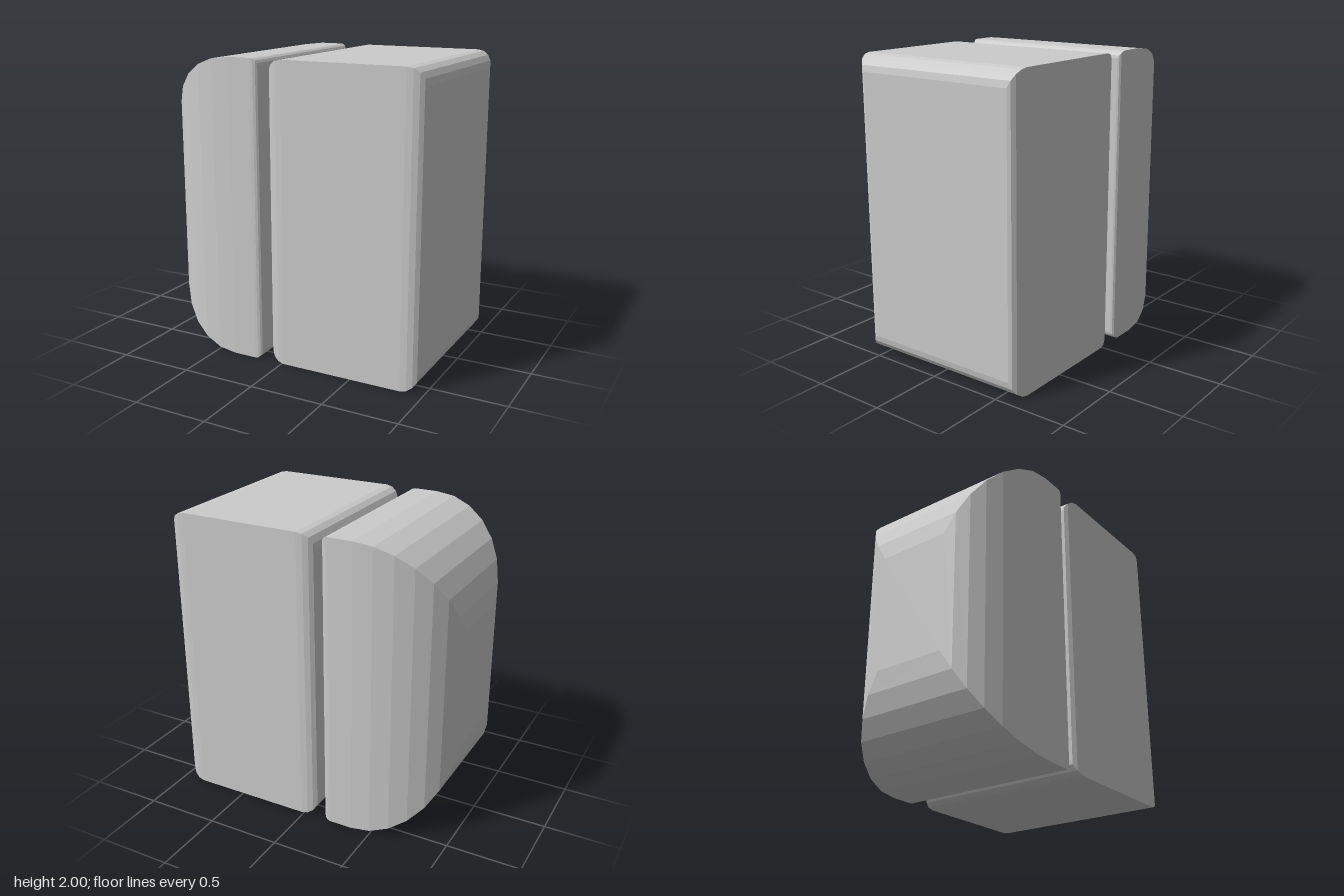
import * as THREE from 'three';

const HALF_H = 1, HALF_D = 0.625;

// Rounded end: sections [x, halfHeight, halfDepth] from the end face inward.
function roundedEnd(xEnd, dir, rx, ry, rz, steps) {
  const out = [];
  for (let i = 0; i <= steps; i++) {
    const a = (i / steps) * Math.PI / 2;
    out.push([
      xEnd + dir * rx * (1 - Math.cos(a)),
      HALF_H - ry * (1 - Math.sin(a)),
      HALF_D - rz * (1 - Math.sin(a)),
    ]);
  }
  return out;
}

// Skin rectangular sections along x and close both ends.
function loftRectangles(sections) {
  const rings = sections.map(([x, h, d]) =>
    [[-1, -1], [1, -1], [1, 1], [-1, 1]].map(([sy, sz]) => [x, 1 + sy * h, sz * d]));
  const pos = [];
  const quad = (a, b, c, d) => pos.push(...a, ...b, ...c, ...a, ...c, ...d);
  for (let i = 0; i < rings.length - 1; i++) {
    for (let j = 0; j < 4; j++) {
      const k = (j + 1) % 4;
      quad(rings[i][j], rings[i][k], rings[i + 1][k], rings[i + 1][j]);
    }
  }
  const first = rings[0], last = rings[rings.length - 1];
  quad(first[3], first[2], first[1], first[0]);
  quad(last[0], last[1], last[2], last[3]);
  const geometry = new THREE.BufferGeometry();
  geometry.setAttribute('position', new THREE.Float32BufferAttribute(pos, 3));
  geometry.computeVertexNormals();
  return geometry;
}

export function createModel() {
  const group = new THREE.Group();
  const material = new THREE.MeshStandardMaterial({ color: 0xcccccc, flatShading: true });
  const add = (name, leftEnd, rightEnd) => {
    const mesh = new THREE.Mesh(loftRectangles([...leftEnd, ...rightEnd.reverse()]), material);
    mesh.name = name;
    group.add(mesh);
  };

  // Large block with softly rounded ends
  add('mainBlock',
    roundedEnd(-0.095, 1, 0.11, 0.11, 0.06, 4),
    roundedEnd(0.955, -1, 0.11, 0.11, 0.06, 4));

  // Domed end cap, separated by a narrow gap
  add('domedCap',
    roundedEnd(-0.955, 1, 0.59, 0.6, 0.375, 7),
    roundedEnd(-0.155, -1, 0.05, 0.05, 0.03, 4));

  return group;
}
